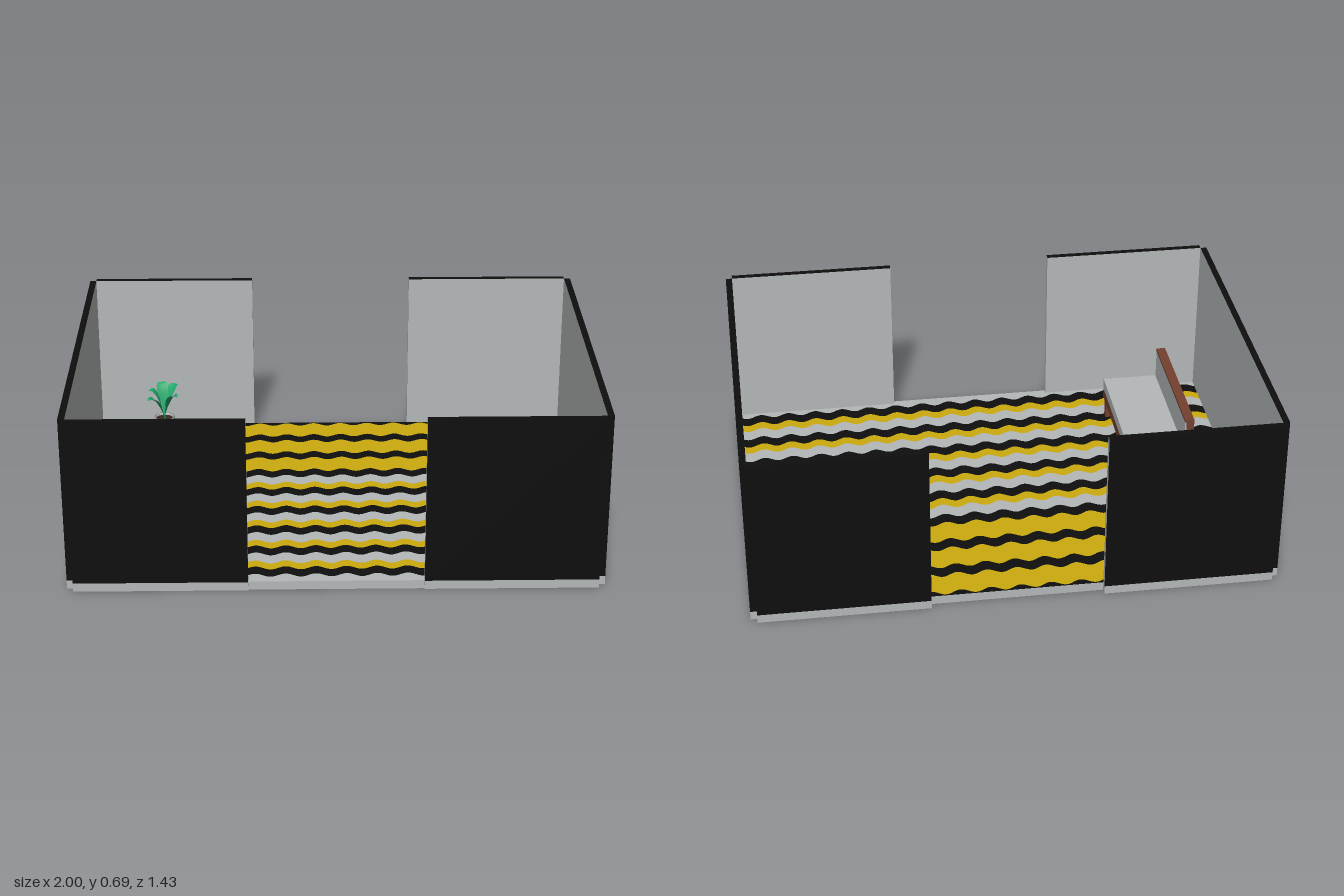
import * as THREE from 'three';

const mat = (name, color, side = THREE.FrontSide) => {
  const m = new THREE.MeshStandardMaterial({ color, side });
  m.name = name;
  return m;
};

export function createModel() {
  const black = mat('black', 0x0e0e0e);
  const grey = mat('grey', 0xb4b8b8);
  const yellow = mat('yellow', 0xcbaa0e);
  const brown = mat('brown wood', 0x74402f);
  const green = mat('leaf green', 0x22a86c, THREE.DoubleSide);
  const soil = mat('soil', 0x3a2a20);

  const model = new THREE.Group();
  model.name = 'room';

  // Box given by its min and max corners
  const box = (parent, name, material, [x0, y0, z0], [x1, y1, z1]) => {
    const mesh = new THREE.Mesh(new THREE.BoxGeometry(x1 - x0, y1 - y0, z1 - z0), material);
    mesh.position.set((x0 + x1) / 2, (y0 + y1) / 2, (z0 + z1) / 2);
    mesh.name = name;
    parent.add(mesh);
    return mesh;
  };

  const X = 0.975, Z = 0.69, T = 0.025;   // inner half sizes and wall thickness
  const BASE = 0.034, TOP = 0.69, DOOR = 0.327;

  // Floor slab and front threshold
  box(model, 'floorSlab', grey, [-X, 0, -Z], [X, BASE, Z]);
  box(model, 'threshold', grey, [-DOOR, 0, Z], [DOOR, BASE, 0.71]);

  // Walls: black outside and on top, grey inside and at the door openings
  for (const s of [-1, 1]) {
    const xs = [s * X, s * (X + T)].sort((a, b) => a - b);
    const sideMats = [black, black, black, grey, black, black];
    sideMats[s > 0 ? 1 : 0] = grey;
    box(model, 'sideWall', sideMats, [xs[0], BASE, -Z], [xs[1], TOP, Z]);
    box(model, 'sideWallBase', grey, [xs[0], 0, -Z], [xs[1], BASE, Z]);

    for (const f of [-1, 1]) {
      const xr = [s * DOOR, s * X].sort((a, b) => a - b);
      const zr = [f * Z, f * (Z + T)].sort((a, b) => a - b);
      const mats = [black, black, black, grey, black, black];
      mats[s > 0 ? 1 : 0] = grey;
      mats[f > 0 ? 5 : 4] = grey;
      const end = f > 0 ? 'front' : 'back';
      box(model, end + 'Wall', mats, [xr[0], BASE, zr[0]], [xr[1], TOP, zr[1]]);
      box(model, end + 'WallBase', grey, [xr[0], 0, zr[0]], [xr[1], BASE, zr[1]]);
    }
  }

  // Floor pattern: wavy bands that share their edges
  const floor = new THREE.Group();
  floor.name = 'floorPattern';
  model.add(floor);
  const band = (name, material, z0, z1) => {
    const geo = new THREE.PlaneGeometry(2 * X, 1, 204, 1).rotateX(-Math.PI / 2);
    const p = geo.attributes.position;
    for (let i = 0; i < p.count; i++) {
      const wave = -0.012 * Math.cos((2 * Math.PI * (p.getX(i) + 0.872)) / 0.114);
      const z = (p.getZ(i) < 0 ? z0 : z1) + wave;
      p.setZ(i, THREE.MathUtils.clamp(z, -Z, Z));
    }
    const mesh = new THREE.Mesh(geo, material);
    mesh.position.y = BASE + 0.001;
    mesh.name = name;
    floor.add(mesh);
  };
  const PITCH = 0.167, HALF = 0.028;
  for (let k = 0; k < 9; k++) {
    const c = -0.7 + k * PITCH;
    const mid = c + 0.092, next = c + PITCH - HALF;
    band('blackBand', black, c - HALF, c + HALF);
    band('upperBand', k < 3 ? yellow : grey, c + HALF, mid);
    if (mid < Z) band('yellowBand', yellow, mid, next);
  }

  // Bench along the right wall
  const bench = new THREE.Group();
  bench.name = 'bench';
  model.add(bench);
  const bx0 = -0.8, bx1 = -0.543, bz0 = -0.07, bz1 = 0.5;
  box(bench, 'seatCushion', grey, [bx0 + 0.035, 0.155, bz0], [bx1, 0.2, bz1]);
  box(bench, 'seatFrame', brown, [bx0 + 0.03, 0.115, bz0], [bx1, 0.155, bz1]);
  box(bench, 'backBoard', brown, [bx0, 0.115, bz0], [bx0 + 0.03, 0.33, bz1]);
  box(bench, 'backCap', brown, [bx0 + 0.03, 0.32, bz0], [bx0 + 0.037, 0.33, bz1]);
  box(bench, 'backCushion', grey, [bx0 + 0.03, 0.2, bz0 + 0.004], [bx0 + 0.036, 0.32, bz1 - 0.004]);
  for (const x of [bx0 + 0.005, bx1 - 0.035])
    for (const z of [bz0 + 0.01, bz1 - 0.04])
      box(bench, 'benchLeg', brown, [x, BASE, z], [x + 0.03, 0.115, z + 0.03]);

  // Potted plant
  const plant = new THREE.Group();
  plant.name = 'plant';
  plant.position.set(-0.685, 0.16, -0.305);
  model.add(plant);
  const profile = [[0, 0], [0.026, 0], [0.032, 0.012], [0.036, 0.055], [0.042, 0.058],
    [0.042, 0.085], [0.036, 0.085], [0.036, 0.075]].map(([r, y]) => new THREE.Vector2(r, y));
  const pot = new THREE.Mesh(new THREE.LatheGeometry(profile, 20), grey);
  pot.name = 'pot';
  plant.add(pot);
  const earth = new THREE.Mesh(new THREE.CircleGeometry(0.037, 20).rotateX(-Math.PI / 2), soil);
  earth.position.y = 0.076;
  earth.name = 'soil';
  plant.add(earth);

  // Leaves: folded blades on thin stalks, each aimed at a tip (x, height, z)
  const tips = [[-0.064, 0.1, 0.045], [-0.062, 0.125, 0.0], [0.058, 0.115, 0.045],
    [0.054, 0.13, -0.056], [-0.012, 0.14, -0.055]];
  for (const [x, h, z] of tips) {
    const reach = Math.hypot(x, z);
    const geo = new THREE.PlaneGeometry(1, 1, 2, 8);
    const p = geo.attributes.position;
    for (let i = 0; i < p.count; i++) {
      const t = p.getY(i) + 0.5, side = p.getX(i) * 2;
      const w = 0.003 + 0.021 * Math.max(0, Math.sin(Math.PI * Math.max(0, (t - 0.2) / 0.8)));
      p.setXYZ(i, side * w * (t > 0.99 ? 0.1 : 1),
        0.076 + h * Math.sin(t * 1.75) + Math.abs(side) * w * 0.35,
        reach * Math.pow(t, 1.3));
    }
    geo.rotateY(Math.atan2(x, z));
    geo.computeVertexNormals();
    const leaf = new THREE.Mesh(geo, green);
    leaf.name = 'leaf';
    plant.add(leaf);
  }

  return model;
}
